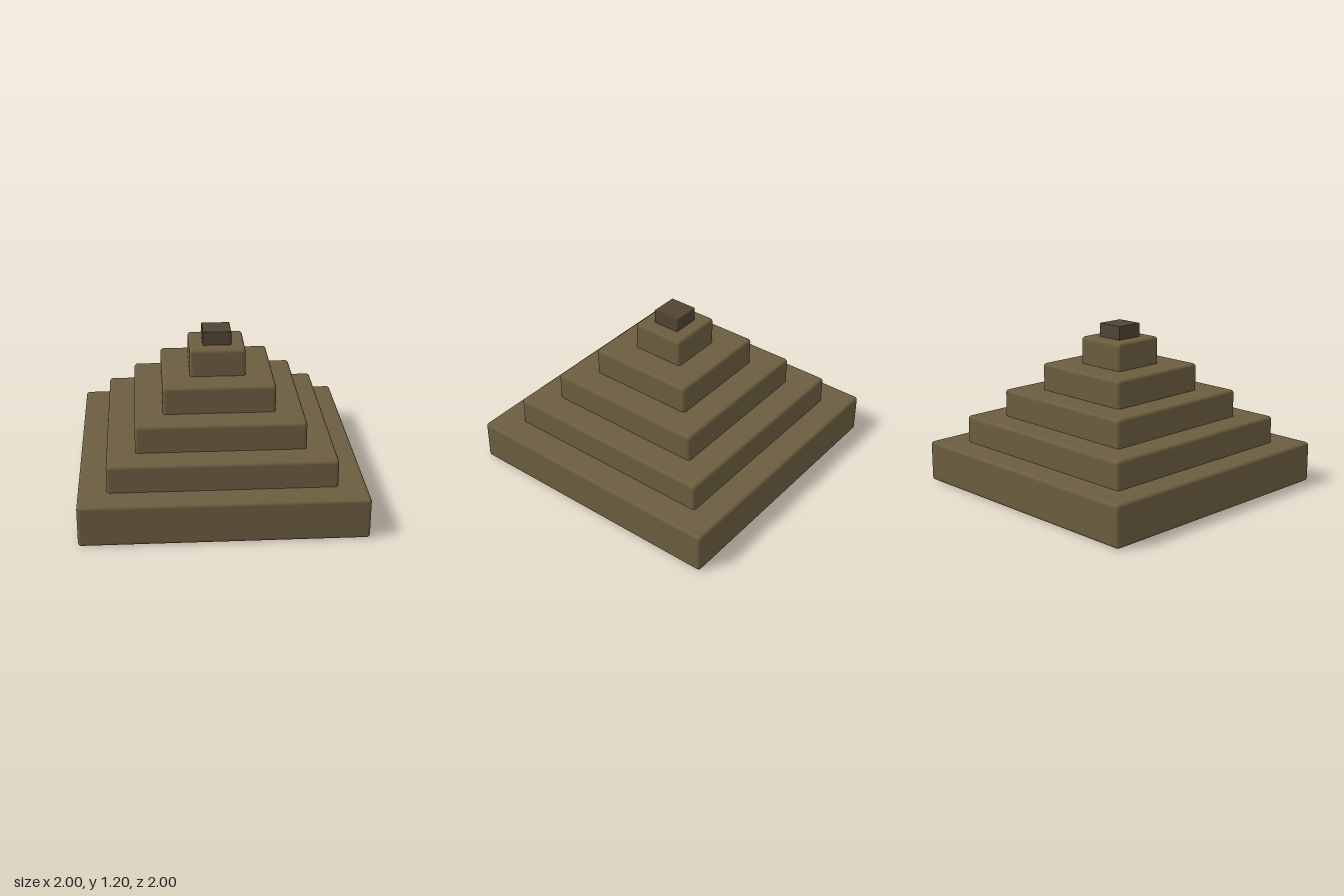
import * as THREE from 'three';
import { RoundedBoxGeometry } from 'three/addons/geometries/RoundedBoxGeometry.js';

export function createModel() {
  const model = new THREE.Group();
  model.name = 'steppedPyramid';
  const stone = new THREE.MeshStandardMaterial({ color: 0x6b5d3f });
  const darkStone = new THREE.MeshStandardMaterial({ color: 0x504434 });

  const addBlock = (name, width, height, top, radius, material) => {
    const mesh = new THREE.Mesh(new RoundedBoxGeometry(width, height, width, 3, radius), material);
    mesh.name = name;
    mesh.position.y = top - height / 2;
    model.add(mesh);
  };

  // Five square tiers, each sunk slightly into the one below
  for (let i = 0; i < 5; i++) {
    addBlock(`tier${i + 1}`, 2 - 0.4 * i, 0.3, 0.3 + 0.2 * i, 0.025, stone);
  }

  // Small dark capstone
  addBlock('capstone', 0.205, 0.2, 1.2, 0.006, darkStone);

  return model;
}
